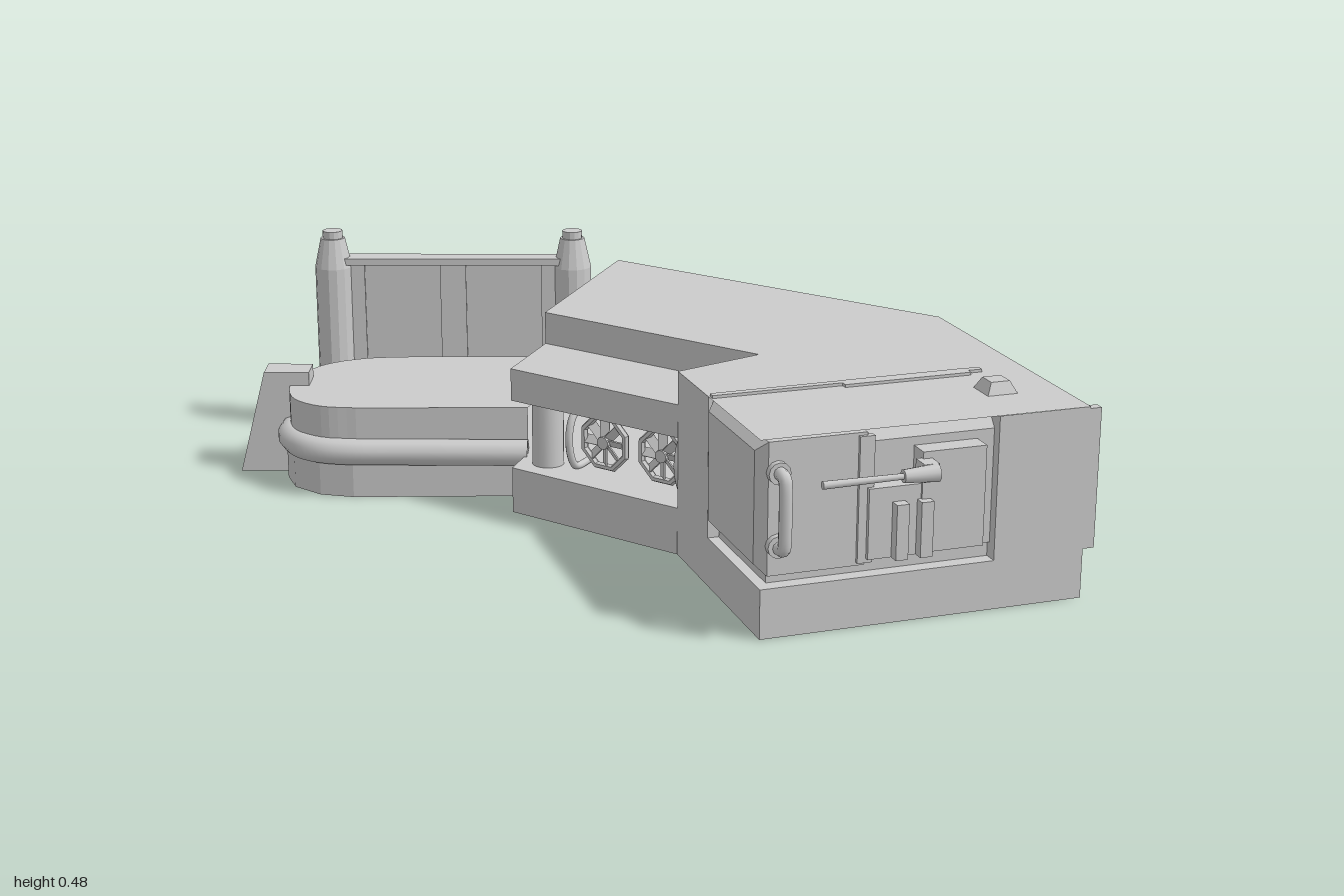
import * as THREE from 'three';

const mat = new THREE.MeshStandardMaterial({ color: 0xcccccc, side: THREE.DoubleSide });
const flat = new THREE.MeshStandardMaterial({ color: 0xcccccc, side: THREE.DoubleSide, flatShading: true });

function add(parent, name, geo, x = 0, y = 0, z = 0, m = flat) {
  const mesh = new THREE.Mesh(geo, m);
  mesh.name = name;
  mesh.position.set(x, y, z);
  parent.add(mesh);
  return mesh;
}
const box = (p, name, w, h, d, x, y, z) => add(p, name, new THREE.BoxGeometry(w, h, d), x, y, z);
const shapeOf = (pts) => new THREE.Shape(pts.map(([x, z]) => new THREE.Vector2(x, -z)));

// thin horizontal plate from a plan outline
const sheet = (p, name, pts, y) =>
  add(p, name, new THREE.ShapeGeometry(shapeOf(pts)).rotateX(-Math.PI / 2), 0, y, 0);

// thin upright wall following a plan path
function wall(p, name, pts, y0, y1) {
  const v = [];
  for (let i = 0; i + 1 < pts.length; i++) {
    const [a, b] = pts[i], [c, d] = pts[i + 1];
    v.push(a, y0, b, c, y0, d, c, y1, d, a, y0, b, c, y1, d, a, y1, b);
  }
  const g = new THREE.BufferGeometry();
  g.setAttribute('position', new THREE.Float32BufferAttribute(v, 3));
  g.computeVertexNormals();
  return add(p, name, g);
}

const tube = (p, name, pts, r, tension = 0.5) => {
  const curve = new THREE.CatmullRomCurve3(pts.map((q) => new THREE.Vector3(...q)), false, 'catmullrom', tension);
  return add(p, name, new THREE.TubeGeometry(curve, 48, r, 10), 0, 0, 0, mat);
};

// plan corners shared by the three sections
const BL = [-0.41, -0.475], BR = [0.45, -0.475], FL = [-0.2, 0.19], FR = [0.23, 0.19];
const ML = [-0.26, -0.005], MR = [0.295, -0.005], END = [-1, -0.05];
const TURN = 0.624, TOP = 0.39, SHELF = 0.32, UNDER = 0.25, FLOOR = 0.1;

function fan(parent, x, y, z) {
  const g = new THREE.Group();
  g.name = 'fan';
  g.position.set(x, y, z);
  add(g, 'fanFrame', new THREE.TorusGeometry(0.058, 0.008, 6, 8).rotateZ(Math.PI / 8));
  add(g, 'fanHub', new THREE.CylinderGeometry(0.014, 0.014, 0.02, 10).rotateX(Math.PI / 2));
  for (let i = 0; i < 8; i++) {
    const blade = new THREE.BoxGeometry(0.02, 0.042, 0.003).rotateY(0.6).translate(0, 0.032, 0);
    add(g, 'fanBlade', blade.rotateZ((i * Math.PI) / 4));
  }
  parent.add(g);
}

function buildCentre(root) {
  const g = new THREE.Group();
  g.name = 'centreSection';
  sheet(g, 'topDeck', [BL, BR, MR, ML], TOP);
  wall(g, 'deckStep', [ML, MR], SHELF, TOP);
  sheet(g, 'frontShelf', [ML, MR, FR, FL], SHELF);
  wall(g, 'shelfLip', [FL, FR], UNDER, SHELF);
  sheet(g, 'shelfUnderside', [BL, BR, FR, FL], UNDER);
  wall(g, 'deckEnd', [BL, ML], UNDER, TOP);
  wall(g, 'shelfEnd', [ML, FL], UNDER, SHELF);
  wall(g, 'mitreWall', [BR, FR], 0, TOP);
  // equipment in the opening
  add(g, 'column', new THREE.CylinderGeometry(0.034, 0.034, 0.15, 16), -0.157, 0.175, 0.12, mat);
  for (const x of [-0.02, 0.13]) fan(g, x, 0.168, 0.1);
  for (const x of [-0.085, 0.195]) {
    tube(g, 'fanBracket', [[x, 0.11, 0.06], [x, 0.11, 0.12], [x, 0.17, 0.14], [x, 0.225, 0.12], [x, 0.225, 0.06]], 0.008);
  }
  root.add(g);
}

function buildLeftWing(root) {
  const g = new THREE.Group();
  g.name = 'lowWing';
  // floor runs under the wing and the centre
  const rim = [END, [-0.79, 0.25], [-0.75, 0.305], [-0.69, 0.345], [-0.61, 0.35], [-0.54, 0.32], [-0.235, 0.09], FL, FR];
  sheet(g, 'floor', [BL, ...rim, BR], FLOOR);
  wall(g, 'floorSkirt', rim, 0, FLOOR);
  // rounded raised bed with a bumper tube
  const curve = new THREE.CatmullRomCurve3(
    [[-0.7, -0.065], [-0.78, 0.01], [-0.82, 0.1], [-0.805, 0.2], [-0.76, 0.28], [-0.69, 0.335], [-0.61, 0.34], [-0.54, 0.305]]
      .map(([x, z]) => new THREE.Vector3(x, 0, z)));
  const bed = [[-0.36, -0.31], ...curve.getPoints(28).map((p) => [p.x, p.z]), [-0.24, 0.085]];
  sheet(g, 'raisedBed', bed, 0.2);
  wall(g, 'raisedBedSide', bed, FLOOR, 0.2);
  tube(g, 'bumper', [[-0.795, 0.1, 0.17], [-0.76, 0.1, 0.275], [-0.7, 0.1, 0.328], [-0.63, 0.1, 0.342],
    [-0.555, 0.1, 0.315], [-0.44, 0.1, 0.235], [-0.235, 0.1, 0.092]], 0.03);
  // sloping foot at the end
  const foot = new THREE.Shape([[0, 0], [0.16, 0], [0.1, 0.23], [0, 0.23]].map((q) => new THREE.Vector2(...q)));
  const footGeo = new THREE.ExtrudeGeometry(foot, { depth: 0.07, bevelEnabled: false }).translate(0, 0, -0.035);
  add(g, 'endFoot', footGeo, -0.755, 0, 0.215).rotation.y = Math.PI + TURN;
  // railing between two posts
  const posts = [[-0.9, -0.025], [-0.45, -0.35]];
  const profile = [[0, 0.1], [0.043, 0.1], [0.043, 0.395], [0.028, 0.463], [0.023, 0.463], [0.023, 0.48], [0, 0.48]]
    .map((q) => new THREE.Vector2(...q));
  for (const [x, z] of posts) add(g, 'post', new THREE.LatheGeometry(profile, 14), x, 0, z);
  const rail = new THREE.Group();
  rail.name = 'railing';
  rail.position.set(-0.675, 0, -0.1875);
  rail.rotation.y = TURN;
  box(rail, 'railPanel', 0.54, 0.305, 0.012, 0, 0.25, 0);
  box(rail, 'topRail', 0.54, 0.016, 0.05, 0, 0.41, 0);
  for (const x of [-0.235, 0, 0.235]) box(rail, 'railRib', 0.06, 0.3, 0.022, x, 0.25, 0);
  g.add(rail);
  root.add(g);
}

function buildRightWing(root) {
  sheet(root, 'wingDeck', [BR, [1, -0.08], [0.604, 0.46], FR], TOP);
  // local x runs out along the wing, local z to its front
  const g = new THREE.Group();
  g.name = 'cabWing';
  g.position.set(BR[0], 0, BR[1]);
  g.rotation.y = -TURN;
  const W = 0.677, D = 0.668, MID = 0.39, P = 0.19;
  wall(g, 'innerFront', [[0.211, 0.668], [MID, D]], 0, TOP);
  wall(g, 'divider', [[MID, 0], [MID, D]], 0, TOP);
  wall(g, 'baseSkirt', [[MID, D], [W, D], [W, P]], 0, FLOOR);
  sheet(g, 'baseLedge', [[MID, P], [W, P], [W, D], [MID, D]], FLOOR);
  wall(g, 'sidePillar', [[W, 0], [W, P]], 0, TOP);
  wall(g, 'pillarReturn', [[MID, P], [W, P]], FLOOR, TOP);
  box(g, 'pillarLining', 0.02, 0.285, 0.03, W - 0.012, 0.243, -0.01);
  box(g, 'cabPlinth', 0.255, 0.03, 0.455, MID + 0.13, 0.115, 0.418);

  // cab with chamfered edges
  const b = 0.02;
  const outline = shapeOf([[MID + b, -0.125 - b], [W - b, -0.125 - b], [W - b, -0.387 + b], [MID + b, -0.387 + b]]
    .map(([x, y]) => [x, y]));
  const cab = new THREE.ExtrudeGeometry(outline, { depth: 0.195, bevelEnabled: true, bevelThickness: b, bevelSize: b, bevelSegments: 1 });
  add(g, 'cab', cab, 0, 0, 0.46);
  const rear = shapeOf([[MID, -0.13], [0.655, -0.13], [0.655, -0.36], [0.632, -0.387], [MID, -0.387]]);
  add(g, 'cabRear', new THREE.ExtrudeGeometry(rear, { depth: 0.27, bevelEnabled: false }), 0, 0, P);
  box(g, 'cabCollar', 0.014, 0.25, 0.03, W, 0.256, 0.462);
  // grab handle
  const hz = 0.637;
  tube(g, 'grabHandle', [[0.67, 0.185, hz], [0.705, 0.185, hz], [0.718, 0.205, hz], [0.718, 0.31, hz], [0.705, 0.328, hz], [0.67, 0.328, hz]], 0.013);
  for (const y of [0.185, 0.328]) {
    add(g, 'handleBoss', new THREE.CylinderGeometry(0.022, 0.022, 0.015, 12).rotateZ(Math.PI / 2), 0.683, y, hz, mat);
  }
  // side equipment panel with slats
  box(g, 'panelUpper', 0.055, 0.2, 0.13, 0.67, 0.243, 0.29);
  box(g, 'panelLower', 0.05, 0.14, 0.12, 0.668, 0.21, 0.4);
  for (const z of [0.35, 0.4]) box(g, 'panelSlat', 0.03, 0.11, 0.025, 0.7, 0.195, z);
  // nozzle and barrel
  const along = (r0, r1, l) => new THREE.CylinderGeometry(r0, r1, l, 10).rotateX(Math.PI / 2);
  add(g, 'nozzleBody', along(0.013, 0.018, 0.07), 0.73, 0.312, 0.375, mat);
  add(g, 'nozzleBarrel', along(0.008, 0.006, 0.17), 0.73, 0.312, 0.485, mat);
  box(g, 'nozzleMount', 0.04, 0.035, 0.03, 0.71, 0.312, 0.352);

  // raised fittings on the deck
  box(g, 'deckStrip', 0.016, 0.008, 0.57, MID + 0.006, TOP + 0.002, 0.38);
  box(g, 'deckStripWide', 0.03, 0.008, 0.27, MID + 0.012, TOP + 0.002, 0.26);
  add(g, 'deckHatch', new THREE.CylinderGeometry(0.028, 0.046, 0.025, 4).rotateY(Math.PI / 4), 0.525, TOP + 0.011, 0.125);
  root.add(g);
}

export function createModel() {
  const root = new THREE.Group();
  root.name = 'console';
  buildCentre(root);
  buildLeftWing(root);
  buildRightWing(root);
  return root;
}
